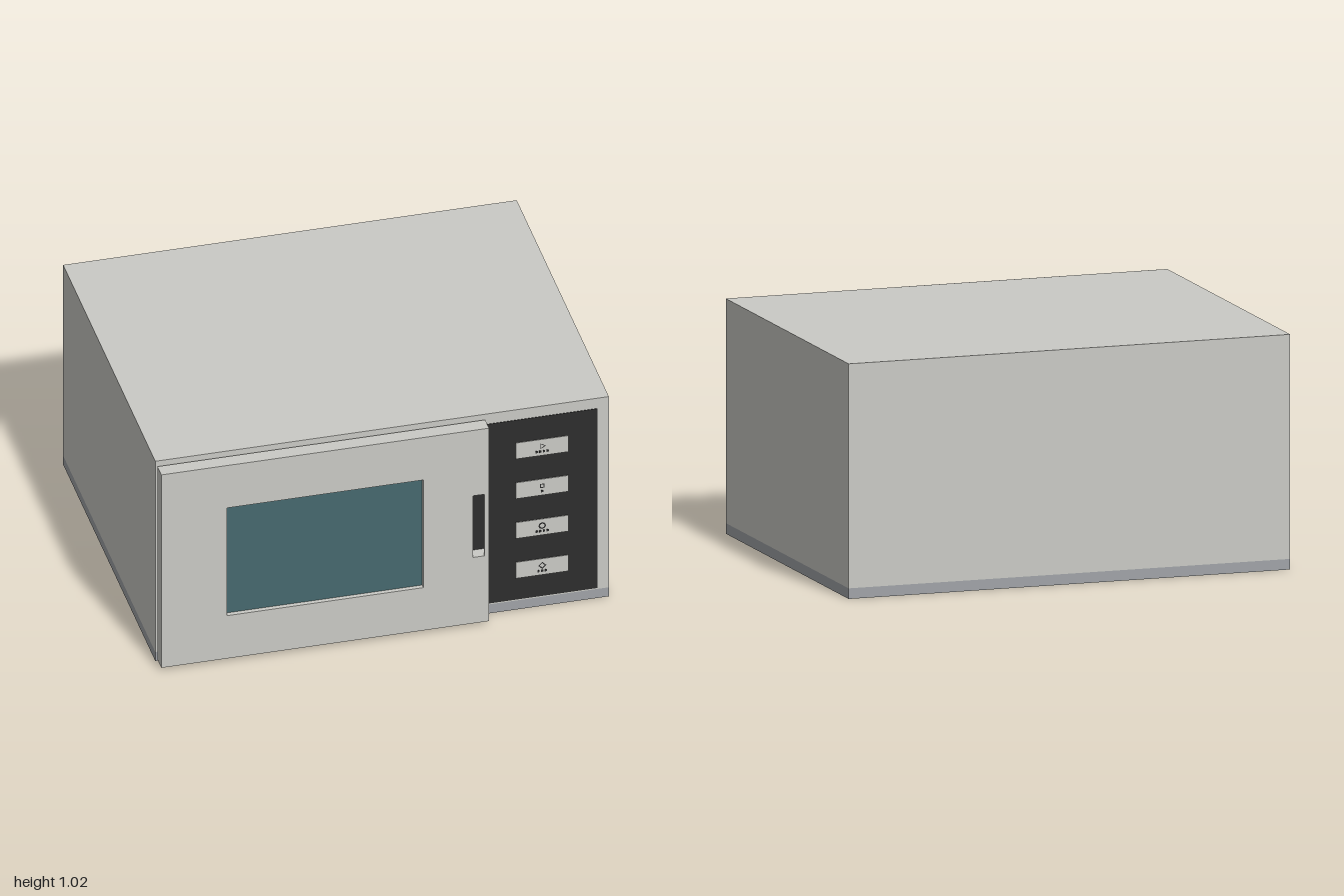
import * as THREE from 'three';

const mat = (name, color) => {
  const m = new THREE.MeshStandardMaterial({ color });
  m.name = name;
  return m;
};

export function createModel() {
  const shell = mat('warm grey shell', 0xcacac5);
  const base = mat('cool grey base', 0xa0a3a7);
  const black = mat('black panel', 0x2d2d2d);
  const glass = mat('teal glass', 0x46696e);

  const root = new THREE.Group();
  root.name = 'microwaveOven';

  const add = (name, geometry, material, parent = root) => {
    const mesh = new THREE.Mesh(geometry, material);
    mesh.name = name;
    parent.add(mesh);
    return mesh;
  };
  // Box given by its lower and upper limits on each axis
  const box = (name, material, [x0, x1], [y0, y1], [z0, z1], parent = root) => {
    const g = new THREE.BoxGeometry(x1 - x0, y1 - y0, z1 - z0);
    g.translate((x0 + x1) / 2, (y0 + y1) / 2, (z0 + z1) / 2);
    return add(name, g, material, parent);
  };
  const points = (list) => list.map(([x, y]) => new THREE.Vector2(x, y));

  // Body and base
  box('body', shell, [-1, 1], [0.046, 1.022], [-0.83, 0.74]);
  box('base', base, [-1, 1], [0, 0.046], [-0.83, 0.74]);

  // Door slab with a window opening and a grip notch in its free edge
  const door = new THREE.Group();
  door.name = 'door';
  root.add(door);
  const gripY = [0.355, 0.67];
  const outline = new THREE.Shape(points([
    [-0.995, 0.018], [0.45, 0.018], [0.45, gripY[0]], [0.38, gripY[0]],
    [0.38, gripY[1]], [0.45, gripY[1]], [0.45, 1.005], [-0.995, 1.005],
  ]));
  outline.holes.push(new THREE.Path(points([
    [-0.705, 0.237], [-0.705, 0.788], [0.16, 0.788], [0.16, 0.237],
  ])));
  const slab = new THREE.ExtrudeGeometry(outline, { depth: 0.067, bevelEnabled: false });
  slab.translate(0, 0, 0.757);
  add('doorFrame', slab, shell, door);
  box('window', glass, [-0.705, 0.16], [0.237, 0.788], [0.76, 0.803], door);

  // Grip: dark back plate behind a thin front lip
  box('gripBack', black, [0.38, 0.45], gripY, [0.757, 0.768], door);
  box('gripLip', shell, [0.43, 0.45], gripY, [0.815, 0.824], door);

  // Control panel
  const panel = new THREE.Group();
  panel.name = 'controls';
  root.add(panel);
  box('controlPanel', black, [0.455, 0.95], [0.052, 0.97], [0.738, 0.742], panel);

  // Outline symbol: polygon ring
  const ring = (x, y, r, sides, turn) => {
    const corners = (radius) => Array.from({ length: sides }, (_, i) => {
      const a = turn + (i / sides) * Math.PI * 2;
      return new THREE.Vector2(x + radius * Math.cos(a), y + radius * Math.sin(a));
    });
    const s = new THREE.Shape(corners(r));
    s.holes.push(new THREE.Path(corners(r * 0.6)));
    const g = new THREE.ShapeGeometry(s);
    g.translate(0, 0, 0.7525);
    add('buttonSymbol', g, black, panel);
  };
  // Short dashes beneath a symbol
  const dashes = (y, n) => {
    for (let i = 0; i < n; i++) {
      const x = 0.703 + (i - (n - 1) / 2) * 0.016;
      box('buttonMark', black, [x - 0.005, x + 0.005], [y - 0.005, y + 0.005], [0.751, 0.7525], panel);
    }
  };

  // Four floating buttons, from top to bottom
  const symbols = [
    { sides: 3, turn: 0, r: 0.017, marks: 4 },
    { sides: 4, turn: Math.PI / 4, r: 0.015, marks: 1 },
    { sides: 8, turn: 0, r: 0.017, marks: 4 },
    { sides: 4, turn: 0, r: 0.018, marks: 3 },
  ];
  symbols.forEach(({ sides, turn, r, marks }, i) => {
    const y = 0.818 - i * 0.2035;
    box('button', shell, [0.587, 0.82], [y - 0.041, y + 0.041], [0.748, 0.751], panel);
    ring(0.703, y + 0.008, r, sides, turn);
    dashes(y - 0.02, marks);
  });

  return root;
}
